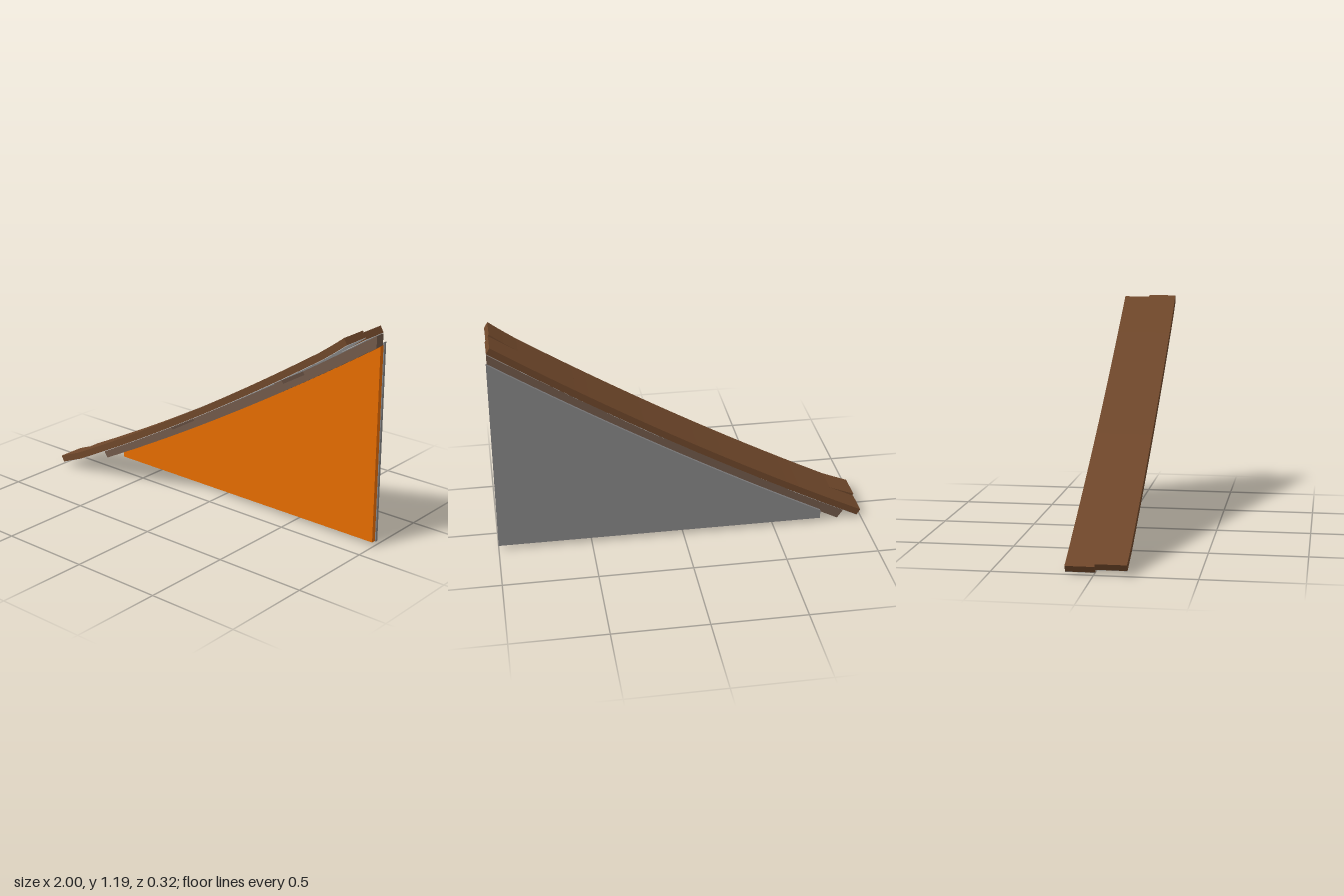
import * as THREE from 'three';

const mat = (name, color) => {
  const m = new THREE.MeshStandardMaterial({ color });
  m.name = name;
  return m;
};

export function createModel() {
  const roofBrown = mat('roof brown', 0x6f472a);
  const beamBrown = mat('beam brown', 0x71594a);
  const orange = mat('wall orange', 0xe66c00);
  const grey = mat('wall grey', 0x878687);
  const paleGrey = mat('lining pale grey', 0xcfcfcf);
  const group = new THREE.Group();

  // Gently sagging curves of the roof top and the rafter underside
  const roofTop = (x) => 0.575 + 0.577 * x + 0.043 * x * x;
  const rafterLow = (x) => 0.47 + 0.574 * x + 0.039 * x * x;

  const sample = (fn, x0, x1, n = 16) =>
    Array.from({ length: n + 1 }, (_, i) => {
      const x = x0 + ((x1 - x0) * i) / n;
      return new THREE.Vector2(x, fn(x));
    });

  // Extrudes an outline in the xy plane from z0 to z1
  const slab = (name, pts, z0, z1, material) => {
    const geo = new THREE.ExtrudeGeometry(new THREE.Shape(pts), { depth: z1 - z0, bevelEnabled: false });
    geo.translate(0, 0, z0);
    const mesh = new THREE.Mesh(geo, material);
    mesh.name = name;
    group.add(mesh);
  };

  // Moves a point square to the slope, down into the roof
  const sink = (p, d) => new THREE.Vector2(p.x + 0.5 * d, p.y - 0.866 * d);

  // Roof strip: brown slab with a thin pale lining below
  const roofStrip = (name, z0, z1, x1, lift) => {
    const top = sample((x) => roofTop(x) + lift * Math.max(0, (Math.abs(x) - 0.86) / 0.13), -0.998, x1, 28);
    const layer = (d0, d1) => [...top.map((p) => sink(p, d1)), ...top.map((p) => sink(p, d0)).reverse()];
    slab(name, layer(0, 0.037), z0, z1, roofBrown);
    slab(name + 'Lining', layer(0.037, 0.039), z0, z1, paleGrey);
  };
  roofStrip('roofFront', 0.005, 0.16, 0.973, 0.013);
  roofStrip('roofBack', -0.14, 0.005, 0.977, 0);

  // Rafter under the back edge of the roof
  slab('rafter', [
    ...sample(rafterLow, -0.867, 0.995),
    ...sample((x) => rafterLow(x) + 0.064, -0.9, 0.995).reverse(),
  ], -0.14, -0.085, beamBrown);

  // Purlins carrying the overhang
  for (const [x, y] of [[0.535, 0.841], [-0.215, 0.402]]) {
    const purlin = new THREE.Mesh(new THREE.BoxGeometry(0.055, 0.022, 0.177), beamBrown);
    purlin.name = 'purlin';
    purlin.position.set(x, y, 0.0035);
    purlin.rotation.z = Math.PI / 6;
    group.add(purlin);
  }

  // Gable wall: orange outside, grey inside
  const gable = (x1, y0, rise) => [
    new THREE.Vector2(-0.765, y0),
    new THREE.Vector2(x1, y0),
    ...sample((x) => rafterLow(x) + rise, -0.765, x1).reverse(),
  ];
  slab('wallOuter', gable(0.995, 0.025, 0.003), -0.145, -0.12, orange);
  slab('wallInner', gable(1, 0.022, 0.016), -0.16, -0.145, grey);

  return group;
}
